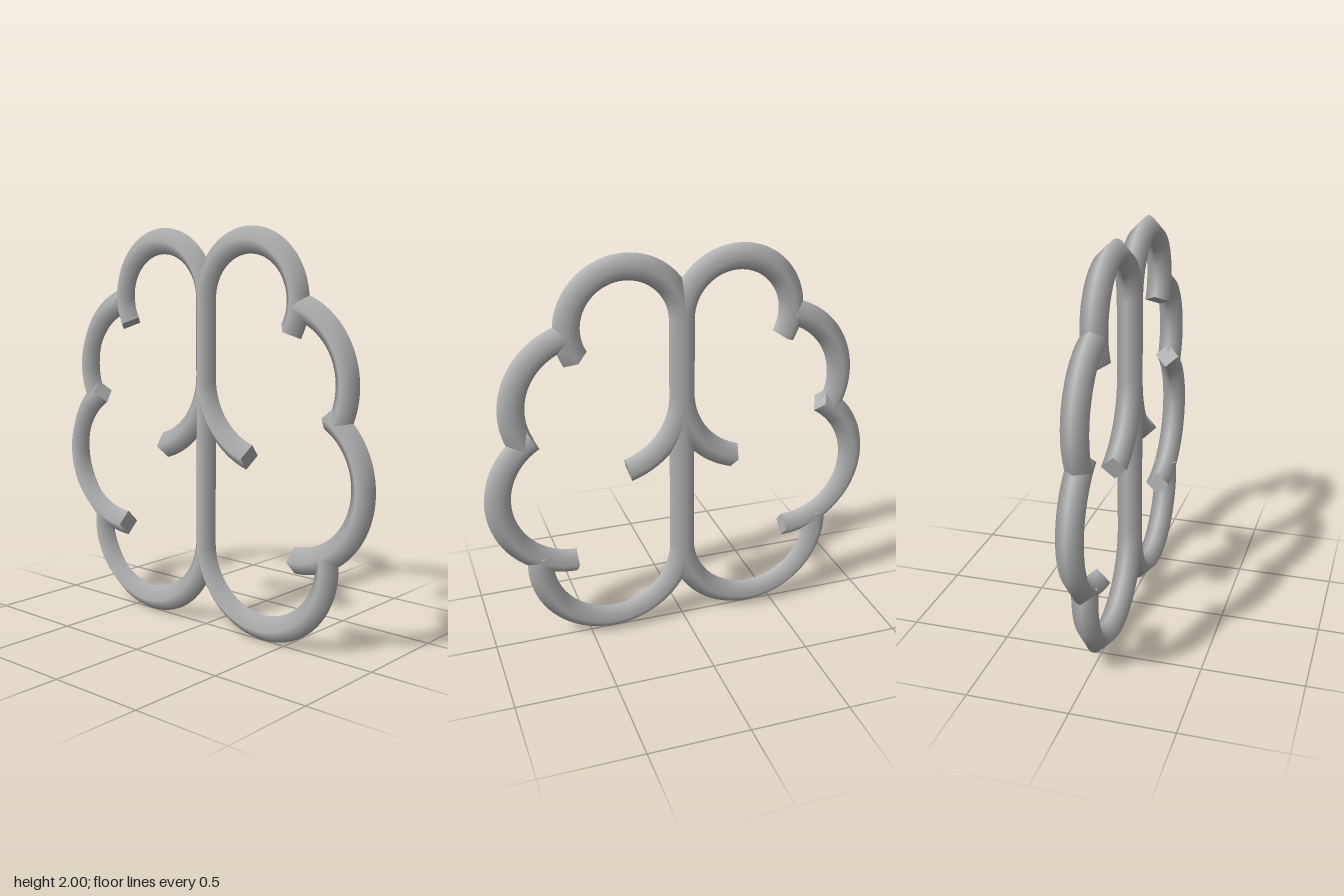
import * as THREE from 'three';
import { mergeGeometries } from 'three/addons/utils/BufferGeometryUtils.js';

const R = 0.065; // half width of the diamond-section bar
const rad = THREE.MathUtils.degToRad;

// Circular arc in the xy plane, mirrored by side = -1
class Arc extends THREE.Curve {
  constructor(side, cx, cy, r, from, to) {
    super();
    Object.assign(this, { side, cx, cy, r, from: rad(from), to: rad(to) });
  }
  getPoint(t, target = new THREE.Vector3()) {
    const a = this.from + (this.to - this.from) * t;
    return target.set(this.side * (this.cx + this.r * Math.cos(a)), this.cy + this.r * Math.sin(a), 0);
  }
}

// Flat square cap facing along dir
function cap(point, dir) {
  const x = new THREE.Vector3(0, 0, 1).cross(dir).normalize();
  const m = new THREE.Matrix4().makeBasis(x, new THREE.Vector3(0, 0, 1), dir).setPosition(point);
  return new THREE.CircleGeometry(R, 4).applyMatrix4(m);
}

// Four-sided smooth bar with closed ends
function bar(curve, segments) {
  return mergeGeometries([
    new THREE.TubeGeometry(curve, segments, R, 4, false),
    cap(curve.getPoint(0), curve.getTangent(0).negate()),
    cap(curve.getPoint(1), curve.getTangent(1)),
  ]);
}

export function createModel() {
  const model = new THREE.Group();
  model.name = 'brainOutline';
  const grey = new THREE.MeshStandardMaterial({ color: 0xb8b8b8 });
  grey.name = 'grey';

  const add = (name, curve, segments) => {
    const mesh = new THREE.Mesh(bar(curve, segments), grey);
    mesh.name = name;
    model.add(mesh);
  };

  // Shared middle stem
  add('centreStem', new THREE.LineCurve3(new THREE.Vector3(0, 0.435, 0), new THREE.Vector3(0, 1.655, 0)), 1);

  // Lobes of each half: centre x, centre y, radius, start and end angle
  const lobes = {
    TopLobe: [0.28, 1.655, 0.28, 180, -30],
    UpperLobe: [0.477, 1.28, 0.363, 75, -28],
    MiddleLobe: [0.56, 0.815, 0.375, 60, -90],
    BottomLobe: [0.373, 0.438, 0.373, 180, 370],
    InnerBranch: [0.386, 1.27, 0.386, 180, 254],
  };
  for (const [sideName, side] of [['left', 1], ['right', -1]]) {
    for (const [name, args] of Object.entries(lobes)) {
      add(sideName + name, new Arc(side, ...args), 40);
    }
  }
  return model;
}
